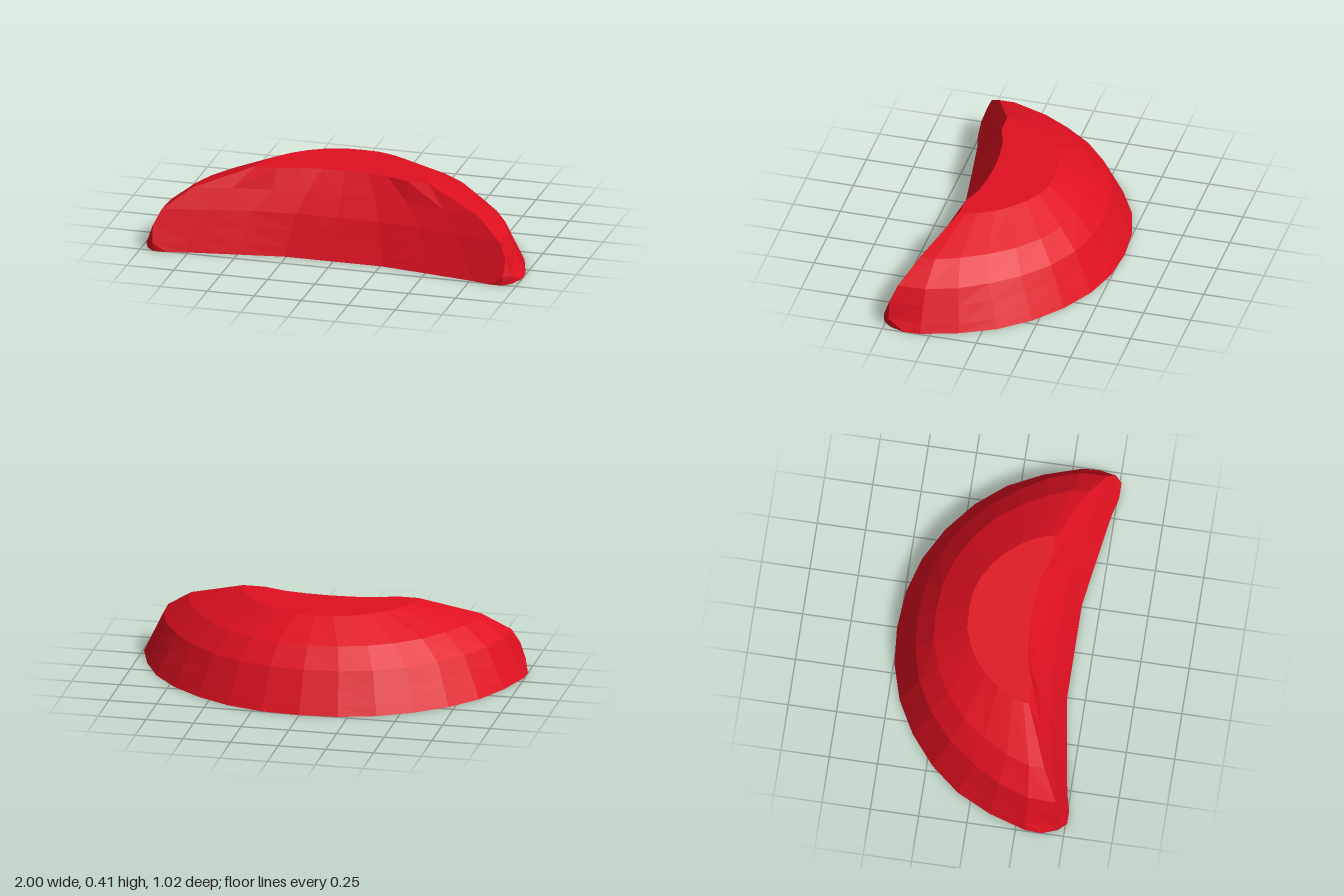
import * as THREE from 'three';

// Half outlines [x, z, ...] from back centre round the side and tip to front centre:
// 8 back points, 4 tip points, 4 front points.
const BASE = [0, -.512, .2, -.495, .39, -.44, .565, -.345, .72, -.22, .845, -.07, .935, .11, .995, .3,
  1, .385, .97, .465, .93, .508, .86, .508, .77, .485, .5, .442, .26, .406, 0, .406];
const SHOULDER = [0, -.405, .18, -.39, .35, -.345, .505, -.26, .645, -.14, .755, 0, .84, .14, .895, .3,
  .9, .445, .9, .445, .9, .445, .9, .445, .66, .39, .45, .35, .22, .325, 0, .32];
const UPPER = [0, -.31, .155, -.3, .3, -.255, .43, -.185, .55, -.085, .64, .035, .715, .165, .76, .285,
  .76, .365, .76, .365, .76, .365, .76, .365, .56, .32, .36, .28, .18, .26, 0, .255];
const TOP = [0, -.14, .095, -.135, .185, -.105, .265, -.06, .335, 0, .395, .07, .44, .15, .46, .21,
  .46, .24, .46, .24, .46, .24, .46, .24, .35, .24, .23, .2, .12, .185, 0, .18];

// Blend of base and shoulder, with its own tip points
function blend(t, tip) {
  const half = BASE.map((v, i) => v + (SHOULDER[i] - v) * t);
  half.splice(16, 8, ...tip);
  return half;
}

// Mirror a half outline into a closed ring at height y
function ring(half, y) {
  const pts = [];
  for (let i = 0; i < half.length; i += 2) pts.push(new THREE.Vector3(half[i], y, half[i + 1]));
  const mirrored = pts.slice(1, -1).reverse().map(p => new THREE.Vector3(-p.x, y, p.z));
  return [...pts, ...mirrored];
}

function loft(rings) {
  const pos = [];
  const tri = (a, b, c) => {
    const area = b.clone().sub(a).cross(c.clone().sub(a)).length();
    if (area > 1e-7) pos.push(...a, ...b, ...c);
  };
  // Walls between neighbouring rings
  for (let r = 0; r + 1 < rings.length; r++) {
    const lo = rings[r], hi = rings[r + 1], n = lo.length;
    for (let i = 0; i < n; i++) {
      const j = (i + 1) % n;
      // The diagonal is mirrored across x = 0
      if (i < n / 2) {
        tri(lo[i], hi[i], lo[j]);
        tri(lo[j], hi[i], hi[j]);
      } else {
        tri(lo[i], hi[i], hi[j]);
        tri(lo[i], hi[j], lo[j]);
      }
    }
  }
  // Flat caps, wound to face up or down
  const cap = (pts, up) => {
    const flat = pts.map(p => new THREE.Vector2(p.x, -p.z));
    for (const [a, b, c] of THREE.ShapeUtils.triangulateShape(flat, [])) {
      const ccw = THREE.ShapeUtils.area([flat[a], flat[b], flat[c]]) > 0;
      if (ccw === up) tri(pts[a], pts[b], pts[c]);
      else tri(pts[a], pts[c], pts[b]);
    }
  };
  cap(rings[0], false);
  cap(rings[rings.length - 1], true);

  const geo = new THREE.BufferGeometry();
  geo.setAttribute('position', new THREE.Float32BufferAttribute(pos, 3));
  geo.computeVertexNormals();
  return geo;
}

export function createModel() {
  const group = new THREE.Group();
  group.name = 'crescentDome';
  const material = new THREE.MeshStandardMaterial({ color: 0xe01020, flatShading: true });

  // Crescent-shaped shell with a small bevel at each tip
  const shell = new THREE.Mesh(loft([
    ring(BASE, 0),
    ring(blend(.21, [.968, .475, .968, .475, .932, .51, .932, .51]), .045),
    ring(blend(.62, [.938, .48, .938, .48, .938, .48, .938, .48]), .13),
    ring(SHOULDER, .21),
    ring(UPPER, .312),
    ring(TOP, .415),
  ]), material);
  shell.name = 'crescentShell';
  group.add(shell);
  return group;
}
